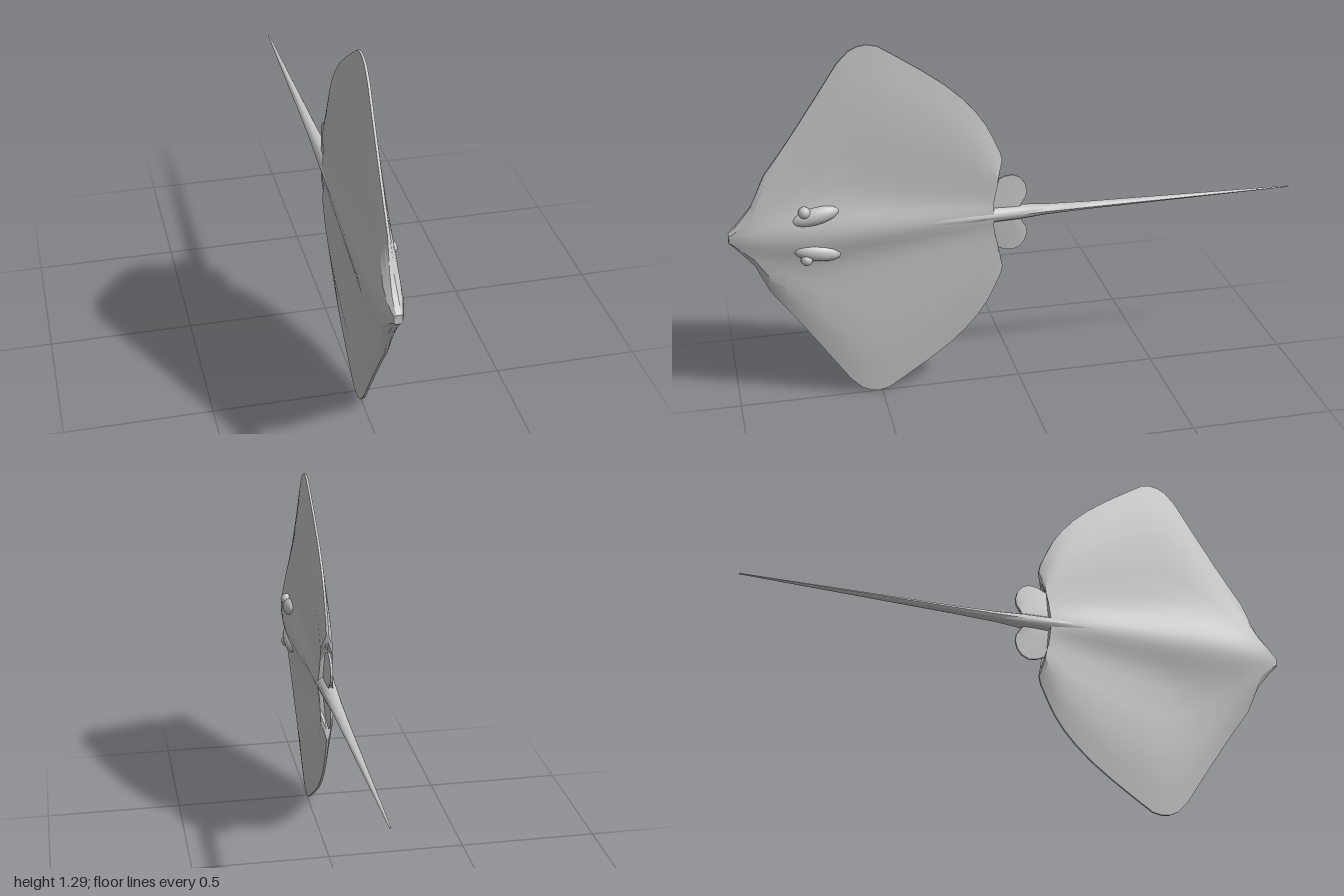
import * as THREE from 'three';
import { toCreasedNormals } from 'three/addons/utils/BufferGeometryUtils.js';

const MID = 0.645;   // height of the spine line
const CX = -0.005;   // mid-plane of the flat body

// Piecewise-linear lookup in a table of [key, value], keys descending
function lookup(table, k) {
  if (k >= table[0][0]) return table[0][1];
  for (let i = 1; i < table.length; i++) {
    const [k0, v0] = table[i - 1], [k1, v1] = table[i];
    if (k >= k1) return v0 + (v1 - v0) * (k0 - k) / (k0 - k1);
  }
  return table[table.length - 1][1];
}

// Skin closed rings of [x, y, z] from front to back, capping both ends
function loft(rings, crease) {
  const n = rings[0].length, last = rings.length - 1;
  const pos = rings.flat(2), idx = [];
  for (let i = 0; i < last; i++) {
    for (let j = 0; j < n; j++) {
      const a = i * n + j, b = i * n + (j + 1) % n;
      idx.push(a, b, a + n, b, b + n, a + n);
    }
  }
  for (const i of [0, last]) {
    const mid = [0, 1, 2].map(k => rings[i].reduce((sum, p) => sum + p[k], 0) / n);
    const c = pos.length / 3;
    pos.push(...mid);
    for (let j = 0; j < n; j++) {
      const a = i * n + j, b = i * n + (j + 1) % n;
      if (i === 0) idx.push(c, b, a); else idx.push(c, a, b);
    }
  }
  const geo = new THREE.BufferGeometry();
  geo.setAttribute('position', new THREE.Float32BufferAttribute(pos, 3));
  geo.setIndex(idx);
  return toCreasedNormals(geo, crease);
}

// Flat body from outline rows [z, span, spine z]; thickness(z, span, t, side)
function flatBody(rows, steps, thickness, crease) {
  const across = [...steps.slice().reverse(), ...steps.slice(1).map(t => -t)];
  const point = (row, t, side) => {
    const f = Math.abs(t), s = f * row[1], z = row[2] + (row[0] - row[2]) * f;
    return [CX + side * thickness(z, s, f, side), MID + t * row[1], z];
  };
  return loft(rows.map(r => [
    ...across.map(t => point(r, t, 1)),
    ...across.slice().reverse().map(t => point(r, t, -1)),
  ]), crease);
}

export function createModel() {
  const group = new THREE.Group();
  group.name = 'ray';
  const skin = new THREE.MeshStandardMaterial({ color: 0xc4c4c4 });
  skin.name = 'grey skin';
  const add = (geo, name) => {
    const mesh = new THREE.Mesh(geo, skin);
    mesh.name = name;
    group.add(mesh);
    return mesh;
  };

  // Diamond disc: wings, rounded tips and rear lobes
  const disc = [
    [1.0, 0.016, 0.998], [0.985, 0.03, 0.985], [0.96, 0.058, 0.965], [0.917, 0.11, 0.93],
    [0.87, 0.215, 0.88], [0.81, 0.295, 0.83], [0.757, 0.37, 0.775], [0.685, 0.475, 0.71],
    [0.61, 0.587, 0.63], [0.57, 0.627, 0.58], [0.54, 0.641, 0.54], [0.51, 0.645, 0.5],
    [0.475, 0.638, 0.46], [0.4, 0.59, 0.39], [0.325, 0.54, 0.32], [0.25, 0.485, 0.26],
    [0.195, 0.435, 0.215], [0.15, 0.385, 0.18], [0.115, 0.335, 0.155], [0.09, 0.285, 0.14],
    [0.065, 0.23, 0.125], [0.058, 0.2, 0.115], [0.065, 0.165, 0.105], [0.085, 0.13, 0.095],
  ];
  const back = [[1, 0.003], [0.96, 0.012], [0.85, 0.024], [0.75, 0.032], [0.6, 0.03],
    [0.45, 0.024], [0.25, 0.014], [0.1, 0.008]];
  const belly = [[1, 0.003], [0.96, 0.014], [0.85, 0.028], [0.72, 0.034], [0.5, 0.026],
    [0.25, 0.016], [0.1, 0.006]];
  const width = [[1, 0.04], [0.85, 0.085], [0.7, 0.095], [0.55, 0.075], [0.3, 0.05], [0.1, 0.04]];
  const discThickness = (z, s, t, side) => {
    const wing = 0.004 + 0.018 * Math.min(1, (1 - t) / 0.32) * Math.min(1, 0.35 + (1 - z) * 8);
    const w = lookup(width, z) * (side > 0 ? 1 : 1.3);
    return wing + lookup(side > 0 ? back : belly, z) * Math.exp(-((s / w) ** 2));
  };
  const steps = [0, 0.045, 0.09, 0.14, 0.2, 0.28, 0.45, 0.68, 0.86, 0.96, 1];
  add(flatBody(disc, steps, discThickness, 0.35), 'disc');

  // Pair of round pelvic fins beside the tail root
  const fins = [
    [0.13, 0.09, 0.16], [0.085, 0.122, 0.12], [0.05, 0.138, 0.1], [0.02, 0.141, 0.08],
    [-0.005, 0.13, 0.06], [-0.022, 0.108, 0.045], [-0.03, 0.08, 0.03],
    [-0.026, 0.056, 0.015], [-0.012, 0.038, 0], [0, 0.03, -0.005],
  ];
  add(flatBody(fins, [0, 0.4, 0.8, 1], (z, s, t) => 0.004 + 0.009 * (1 - t), 0.4), 'pelvicFins');

  // Spine ridge running into the whip tail: [z, half height, half depth]
  const tail = [
    [0.6, 0.03, 0.03], [0.45, 0.04, 0.043], [0.3, 0.036, 0.04], [0.12, 0.03, 0.034],
    [0, 0.026, 0.029], [-0.1, 0.018, 0.024], [-0.25, 0.013, 0.02], [-0.6, 0.008, 0.012],
    [-1, 0.002, 0.003],
  ];
  add(loft(tail.map(([z, h, d]) => Array.from({ length: 10 }, (_, j) => {
    const a = -j * Math.PI * 2 / 10;
    return [CX + d * Math.cos(a), MID + h * Math.sin(a), z];
  })), 0.7), 'tail');

  // Eyes on low mounds, mirrored across the spine
  for (const [side, label] of [[1, 'upper'], [-1, 'lower']]) {
    const mound = add(new THREE.SphereGeometry(1, 14, 10), label + 'EyeMound');
    mound.scale.set(0.03, 0.032, 0.085);
    mound.position.set(0.025, MID + side * 0.066, 0.71);
    mound.rotation.x = side * 0.2;
    const eye = add(new THREE.SphereGeometry(0.021, 12, 8), label + 'Eye');
    eye.position.set(0.037, MID + side * 0.087, 0.745);
  }
  return group;
}
